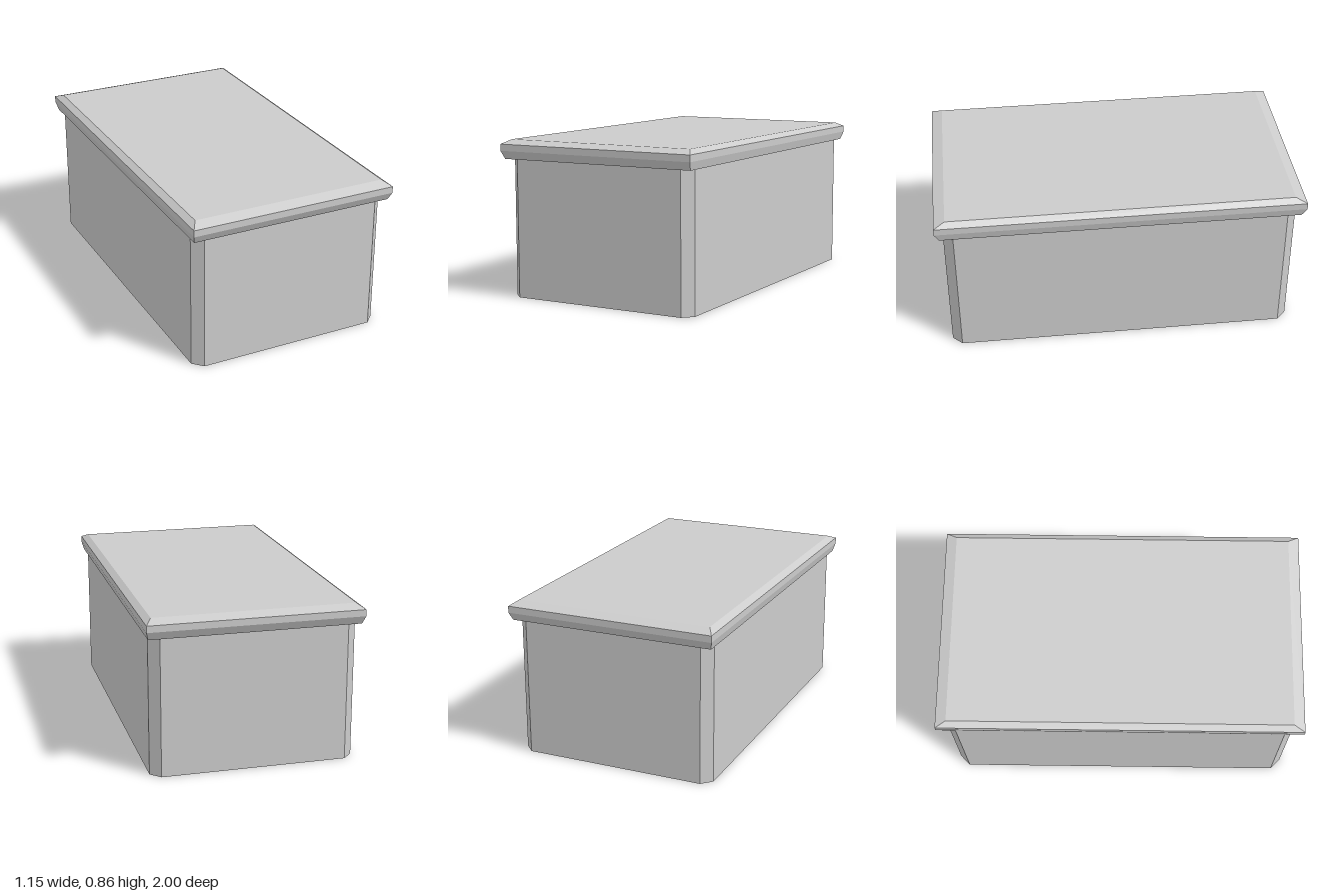
import * as THREE from 'three';

// Rectangle outline at height y, corners cut by `cut`, running from +z towards +x
function ring(hx, hz, y, cut = 0) {
  const points = [];
  for (const [sx, sz] of [[-1, 1], [1, 1], [1, -1], [-1, -1]]) {
    const alongX = new THREE.Vector3(sx * (hx - cut), y, sz * hz);
    const alongZ = new THREE.Vector3(sx * hx, y, sz * (hz - cut));
    if (cut === 0) points.push(alongX);
    else points.push(...(sx === sz ? [alongX, alongZ] : [alongZ, alongX]));
  }
  return points;
}

// Flat-faced skin through the rings from bottom to top, optionally capped
function loft(rings, capped) {
  const tris = [];
  const n = rings[0].length;
  for (let r = 0; r < rings.length - 1; r++) {
    const a = rings[r], b = rings[r + 1];
    for (let i = 0; i < n; i++) {
      const j = (i + 1) % n;
      tris.push(a[i], a[j], b[j], a[i], b[j], b[i]);
    }
  }
  if (capped) {
    const low = rings[0], high = rings[rings.length - 1];
    for (let i = 1; i < n - 1; i++) {
      tris.push(low[0], low[i + 1], low[i], high[0], high[i], high[i + 1]);
    }
  }
  const geometry = new THREE.BufferGeometry().setFromPoints(tris);
  geometry.computeVertexNormals();
  return geometry;
}

export function createModel() {
  const group = new THREE.Group();
  group.name = 'box';

  // Thin walls with bevelled corners, open at the bottom
  const walls = new THREE.Mesh(
    loft([ring(0.553, 0.956, 0, 0.053), ring(0.553, 0.956, 0.754, 0.053)], false),
    new THREE.MeshStandardMaterial({ color: 0xcccccc, flatShading: true, side: THREE.DoubleSide })
  );
  walls.name = 'walls';

  // Overhanging lid with a sloped underside and a bevelled top
  const lid = new THREE.Mesh(
    loft([
      ring(0.565, 0.975, 0.754),
      ring(0.577, 1, 0.799),
      ring(0.577, 1, 0.835),
      ring(0.543, 0.94, 0.858),
    ], true),
    new THREE.MeshStandardMaterial({ color: 0xcccccc, flatShading: true })
  );
  lid.name = 'lid';

  group.add(walls, lid);
  return group;
}
